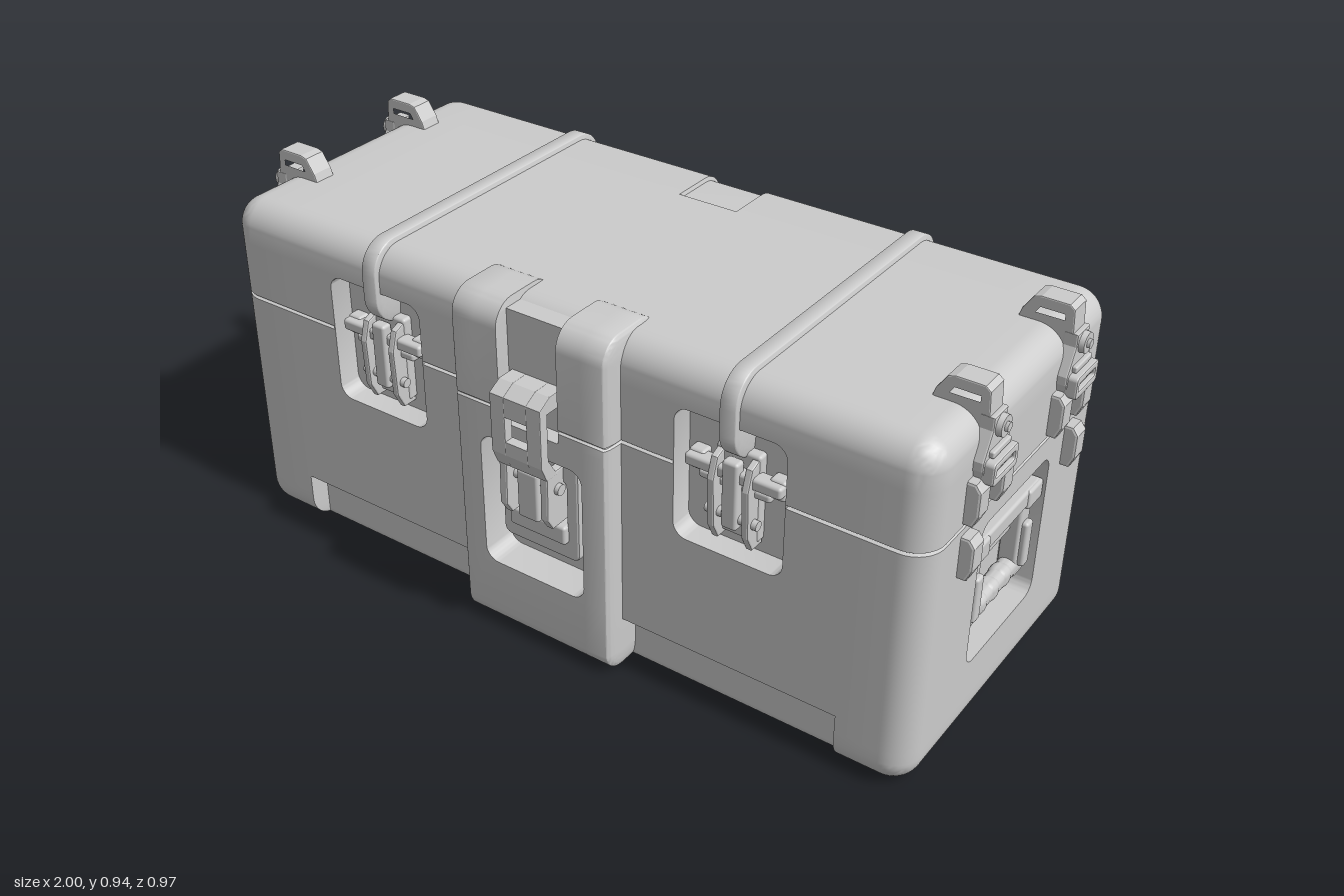
import * as THREE from 'three';
import { toCreasedNormals } from 'three/addons/utils/BufferGeometryUtils.js';
import { RoundedBoxGeometry } from 'three/addons/geometries/RoundedBoxGeometry.js';

const grey = new THREE.MeshStandardMaterial({ color: 0xcccccc });
const V = (x, y, z) => new THREE.Vector3(x, y, z);

function add(parent, name, geo, x = 0, y = 0, z = 0) {
  const m = new THREE.Mesh(geo, grey);
  m.name = name;
  m.position.set(x, y, z);
  parent.add(m);
  return m;
}
const both = (...a) => a.flatMap(v => [v, -v]);
const step = (...a) => a.flatMap(v => [v - 0.0015, v + 0.0015]);
const rbox = (w, h, d, r = 0.008) => new RoundedBoxGeometry(w, h, d, 2, Math.min(r, w / 2.01, h / 2.01, d / 2.01));

// Grid lines along one axis: dense over the rounded ends, plus cuts
function lines(a, b, r, cuts) {
  const out = [...cuts], n = 6;
  for (let i = 0; i <= n; i++) {
    const d = r * (1 - Math.tan((1 - i / n) * Math.PI / 4));
    out.push(a + d, b - d);
  }
  return out.sort((p, q) => p - q);
}

// Rounded box on a cut grid; a rule shifts vertices, and faces inside the holes are left out
function gridBox(min, max, R, cuts, rule, holes = []) {
  const L = ['x', 'y', 'z'].map((k, i) => lines(min[k], max[k], R[k], cuts[i]));
  const n = L.map(l => l.length - 1);
  const geo = new THREE.BoxGeometry(1, 1, 1, ...n).toNonIndexed();
  const pos = geo.attributes.position, lo = min.clone().add(R), hi = max.clone().sub(R);
  const pts = [];
  for (let i = 0; i < pos.count; i++) {
    const c = [pos.getX(i), pos.getY(i), pos.getZ(i)].map((v, k) => L[k][Math.round((v + 0.5) * n[k])]);
    const p = V(...c), q = p.clone().clamp(lo, hi);
    const dir = p.clone().sub(q).divide(R).normalize();
    q.addScaledVector(dir.clone().multiply(R), 1);
    if (rule) rule(p, q, dir);
    pts.push(q);
  }
  const keep = [];
  for (let i = 0; i < pts.length; i += 3) {
    const t = new THREE.Triangle(pts[i], pts[i + 1], pts[i + 2]), mid = t.getMidpoint(V());
    if (t.getArea() > 1e-9 && !holes.some(h => h.containsPoint(mid))) keep.push(t.a, t.b, t.c);
  }
  return toCreasedNormals(new THREE.BufferGeometry().setFromPoints(keep), 0.6);
}

function roundRect(w, h, r, Type = THREE.Path) {
  const s = new Type(), a = w / 2, b = h / 2;
  s.absarc(a - r, b - r, r, 0, Math.PI / 2);
  s.absarc(r - a, b - r, r, Math.PI / 2, Math.PI);
  s.absarc(r - a, r - b, r, Math.PI, Math.PI * 1.5);
  s.absarc(a - r, r - b, r, Math.PI * 1.5, Math.PI * 2);
  s.closePath();
  return s;
}
const poly = (pts, Type = THREE.Shape) => new Type(pts.map(p => new THREE.Vector2(...p)));

// Plate extruded along z, centred, with optional holes and bevel
function plate(shape, depth, holes = [], bevel = 0) {
  shape.holes.push(...holes);
  return new THREE.ExtrudeGeometry(shape, {
    depth: depth - 2 * bevel, curveSegments: 6, bevelEnabled: bevel > 0,
    bevelSize: bevel, bevelOffset: -bevel, bevelThickness: bevel, bevelSegments: 2,
  }).translate(0, 0, bevel - depth / 2);
}
// Side profile of [z, y] points, given a width along x
const profile = (pts, w, holes = [], bevel = 0.004) =>
  plate(poly(pts), w, holes.map(h => poly(h, THREE.Path)), bevel).rotateY(-Math.PI / 2);

// Sunken tray facing +z, its rim at z = 0
function tray(parent, name, w, h, d, x, y, z) {
  const g = new THREE.Group();
  g.name = name;
  g.position.set(x, y, z);
  const rect = poly([[-w / 2, -h / 2], [w / 2, -h / 2], [w / 2, h / 2], [-w / 2, h / 2]]);
  add(g, 'trayWall', toCreasedNormals(plate(rect, d, [roundRect(w - 0.004, h - 0.004, 0.035)]), 0.6), 0, 0, -d / 2);
  add(g, 'trayFloor', new THREE.PlaneGeometry(w, h), 0, 0, -d);
  parent.add(g);
  return g;
}

const inSeam = p => Math.abs(p.y - 0.63) < 0.003;
const seamCuts = step(0.627, 0.633);
const box3 = (a, b) => new THREE.Box3(V(...a), V(...b));
const claspHole = box3([-0.145, 0.19, 0.3], [0.145, 0.545, 0.45]);

function buildShell(root) {
  // Case body with seam, bottom notches and the shallow channel at the back
  const holes = [claspHole];
  for (const s of [1, -1]) {
    holes.push(box3([s * 0.49 - 0.14, 0.44, 0.38], [s * 0.49 + 0.14, 0.775, 0.4]));
    holes.push(box3([s * 0.95 - 0.02, 0.19, -0.19], [s * 0.95 + 0.02, 0.57, 0.145]));
  }
  add(root, 'caseBody', gridBox(V(-0.955, 0, -0.44), V(0.955, 0.88, 0.39), V(0.07, 0.07, 0.07), [
    [...step(...both(0.775, 0.57, 0.08)), ...both(0.35, 0.63, 0.145)],
    [...step(0.14, 0.1), ...seamCuts, 0.44, 0.775, 0.19, 0.57, 0.545],
    [...step(-0.26), 0.145, -0.19],
  ], (p, q, dir) => {
    if (inSeam(p)) q.addScaledVector(dir, -0.008);
    if (Math.abs(p.x) < 0.08 && p.z < -0.26 && p.y > 0.1) q.addScaledVector(dir, -0.01);
    if (Math.abs(p.x) < 0.775 && p.y < 0.14 && p.z > 0) q.z = Math.min(q.z, 0.34);
    if (Math.abs(p.x) < 0.57 && p.y < 0.1 && p.z < 0) q.z = Math.max(q.z, -0.34);
  }, holes));

  // Raised front block that forks into two ribs over the lid
  add(root, 'frontBlock', gridBox(V(-0.215, 0, 0.245), V(0.215, 0.89, 0.44), V(0.012, 0.06, 0.06), [
    [...step(...both(0.08)), ...both(0.145)], [...step(0.6), ...seamCuts, 0.19, 0.545], [],
  ], (p, q, dir) => {
    if (inSeam(p)) q.addScaledVector(dir, -0.006);
    if (Math.abs(p.x) < 0.08 && p.y > 0.6) q.set(q.x, Math.min(q.y, 0.87), Math.min(q.z, 0.405));
  }, [claspHole]));
}

function buildClasp(root) {
  const g = tray(root, 'centreClasp', 0.29, 0.355, 0.09, 0, 0.3675, 0.44);
  const c = new THREE.Group();
  c.position.set(0, -0.3675, -0.44);
  g.add(c);
  add(c, 'claspFrame', plate(roundRect(0.22, 0.27, 0.02, THREE.Shape), 0.05,
    [roundRect(0.15, 0.15, 0.012)], 0.006), 0, 0.4, 0.385);
  add(c, 'claspSill', rbox(0.16, 0.05, 0.07), 0, 0.335, 0.39);
  // Hasp: side plates and bridges leave the square window open
  const hasp = [[0.4, 0.72], [0.45, 0.72], [0.485, 0.7], [0.485, 0.55], [0.468, 0.51], [0.43, 0.51], [0.46, 0.56], [0.46, 0.68], [0.4, 0.68]];
  for (const s of [1, -1]) add(c, 'haspSide', profile(hasp, 0.04, [], 0.002), s * 0.05, 0, 0);
  add(c, 'haspTop', profile([[0.4, 0.72], [0.45, 0.72], [0.485, 0.7], [0.485, 0.65], [0.46, 0.65], [0.46, 0.68], [0.4, 0.68]], 0.064, [], 0.002));
  add(c, 'haspBottom', profile([[0.43, 0.51], [0.468, 0.51], [0.485, 0.55], [0.485, 0.585], [0.46, 0.585], [0.46, 0.56]], 0.064, [], 0.002));
  for (const s of [1, -1])
    add(c, 'leverArm', profile([[0.37, 0.52], [0.465, 0.52], [0.468, 0.4], [0.45, 0.37], [0.37, 0.37]], 0.022), s * 0.058, 0, 0);
  add(c, 'leverTongue', rbox(0.06, 0.13, 0.04), 0, 0.435, 0.435);
  add(c, 'leverPin', new THREE.CylinderGeometry(0.014, 0.014, 0.16, 16).rotateZ(Math.PI / 2), 0, 0.47, 0.43);
}

function buildLatchAndHinge(root, s) {
  // Front latch in its tray
  const g = tray(root, 'frontLatch', 0.28, 0.335, 0.06, s * 0.49, 0.6075, 0.39);
  add(g, 'latchBase', rbox(0.11, 0.22, 0.03), 0, -0.02, -0.05);
  add(g, 'latchCrossbar', rbox(0.24, 0.03, 0.04), 0, 0.035, -0.03);
  add(g, 'latchLowerBar', rbox(0.18, 0.022, 0.03), 0, 0.005, -0.035);
  for (const d of [1, -1]) {
    add(g, 'latchArm', profile([[-0.06, 0.09], [-0.01, 0.07], [0.005, 0.02], [0, -0.1], [-0.02, -0.14], [-0.06, -0.14]], 0.018), d * 0.043, 0, 0);
    add(g, 'latchStop', rbox(0.04, 0.05, 0.035), d * 0.1, 0.03, -0.045);
  }
  add(g, 'latchLever', rbox(0.04, 0.17, 0.03), 0, -0.01, -0.016);
  add(g, 'latchPin', new THREE.CylinderGeometry(0.012, 0.012, 0.13, 14).rotateZ(Math.PI / 2), 0, -0.07, -0.02);

  // Rib across the lid
  add(root, 'lidRib', gridBox(V(-0.026, 0.68, -0.452), V(0.026, 0.892, 0.402), V(0.008, 0.075, 0.075), [[], [], []]), s * 0.49);

  // Rear hinge: pin, knuckles and three tapered leaves
  const h = new THREE.Group();
  h.name = 'rearHinge';
  h.position.x = s * 0.48;
  root.add(h);
  add(h, 'hingePin', new THREE.CylinderGeometry(0.015, 0.015, 0.32, 16).rotateZ(Math.PI / 2), 0, 0.627, -0.463);
  for (let i = -2; i <= 2; i++)
    add(h, 'hingeKnuckle', new THREE.CylinderGeometry(0.02, 0.02, 0.046, 18).rotateZ(Math.PI / 2), i * 0.054, 0.627, -0.463);
  for (const x of [-0.095, 0, 0.095]) {
    add(h, 'upperLeaf', profile([[-0.43, 0.75], [-0.455, 0.745], [-0.472, 0.73], [-0.472, 0.627], [-0.43, 0.627]], 0.032), x);
    add(h, 'lowerLeaf', profile([[-0.43, 0.627], [-0.47, 0.627], [-0.472, 0.425], [-0.455, 0.405], [-0.43, 0.4]], 0.032), x);
  }
}

function buildEnd(root, s) {
  // Local frame: +z points out of the end, x runs along the case depth
  const e = new THREE.Group();
  e.name = s > 0 ? 'leftEnd' : 'rightEnd';
  e.rotation.y = s * Math.PI / 2;
  root.add(e);

  // Carrying handle in its tray
  const t = tray(e, 'carryHandle', 0.335, 0.38, 0.09, s * 0.0225, 0.38, 0.955);
  add(t, 'handleMount', rbox(0.326, 0.045, 0.07), 0, 0.104, -0.045);
  add(t, 'handleBackPlate', rbox(0.19, 0.11, 0.05), 0, 0.065, -0.065);
  for (const d of [1, -1]) {
    add(t, 'mountCheek', rbox(0.07, 0.05, 0.06), d * 0.13, 0.1, -0.035);
    add(t, 'handleArm', rbox(0.05, 0.2, 0.045), d * 0.122, -0.02, -0.042);
    add(t, 'armPad', rbox(0.032, 0.12, 0.02), d * 0.122, -0.03, -0.015);
  }
  add(t, 'handleGrip', rbox(0.296, 0.048, 0.045, 0.02), 0, -0.095, -0.04);
  for (let i = -1; i <= 1; i++) add(t, 'gripRing', rbox(0.055, 0.052, 0.049, 0.02), i * 0.06, -0.095, -0.04);

  // Strap anchors on the lid corners with pads beneath
  for (const [z, outer] of [[0.173, 1], [-0.22, -1]]) {
    const a = new THREE.Group();
    a.name = 'strapAnchor';
    a.position.x = -s * z;
    e.add(a);
    add(a, 'anchorLoop', profile(
      [[0.835, 0.87], [0.845, 0.9], [0.868, 0.935], [0.885, 0.94], [0.95, 0.94], [0.962, 0.93], [0.968, 0.83], [0.93, 0.83]], 0.058,
      [[[0.872, 0.897], [0.883, 0.917], [0.945, 0.917], [0.945, 0.897]]], 0.003));
    add(a, 'anchorPlate', plate(poly([[-0.03, 0.875], [-0.03, 0.845], [-0.06, 0.785], [-0.06, 0.765], [-0.047, 0.73],
      [0.047, 0.73], [0.06, 0.765], [0.06, 0.785], [0.03, 0.845], [0.03, 0.875]]), 0.035, [], 0.004), 0, 0, 0.96);
    add(a, 'anchorBolt', new THREE.CylinderGeometry(0.024, 0.026, 0.02, 20).rotateX(Math.PI / 2), 0, 0.848, 0.98);
    add(a, 'anchorBoltHead', new THREE.CylinderGeometry(0.012, 0.012, 0.01, 6).rotateX(Math.PI / 2), 0, 0.848, 0.992);
    add(a, 'buckleFrame', plate(roundRect(0.11, 0.055, 0.01, THREE.Shape), 0.03, [roundRect(0.085, 0.02, 0.006)], 0.004), 0, 0.76, 0.985);
    add(a, 'buckleBar', new THREE.CylinderGeometry(0.009, 0.009, 0.1, 12).rotateZ(Math.PI / 2), 0, 0.762, 0.985);
    add(a, 'buckleTeeth', rbox(0.08, 0.016, 0.02, 0.004), 0, 0.797, 0.978);
    const pad = (x, y0, y1) => add(a, 'pad', profile([[0.94, y1], [0.975, y1], [0.988, y1 - 0.018],
      [0.988, y0 + 0.03], [0.975, y0], [0.94, y0]], 0.046, [], 0.006), -s * x);
    pad(outer * 0.055, 0.64, 0.745);
    pad(-outer * 0.055, 0.64, 0.745);
    pad(outer * 0.055, 0.505, 0.61);
  }
}

export function createModel() {
  const root = new THREE.Group();
  root.name = 'storageCase';
  buildShell(root);
  buildClasp(root);
  for (const s of [1, -1]) {
    buildLatchAndHinge(root, s);
    buildEnd(root, s);
  }
  return root;
}
